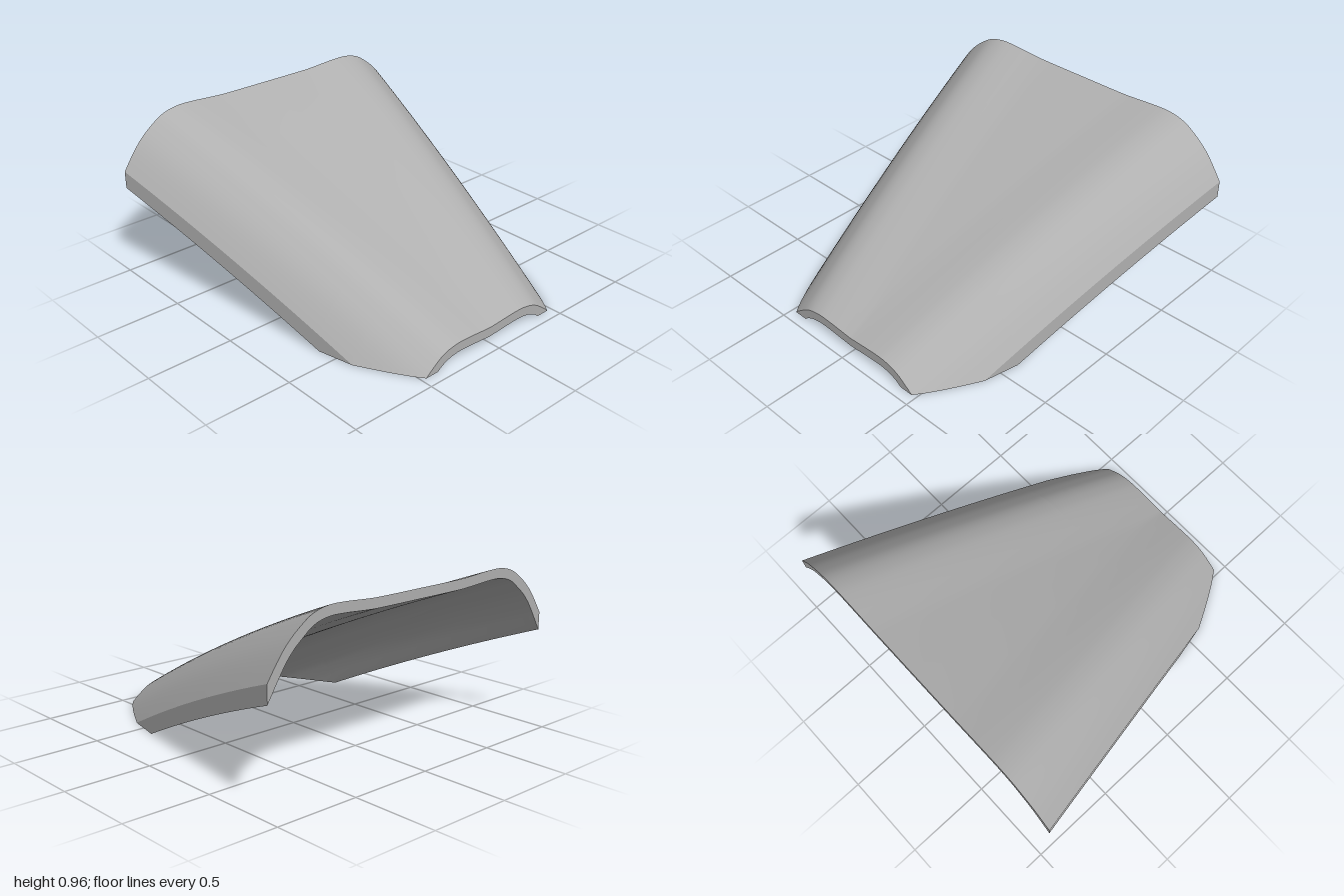
import * as THREE from 'three';

const END = 0.935, THICK = 0.055, STEPS = 72;

// Drop below the crest, against distance in from the side edge
const DROP = [[0, 0.3], [0.05, 0.225], [0.1, 0.16], [0.15, 0.11], [0.2, 0.071], [0.25, 0.037], [0.3, 0.016],
  [0.35, 0.005], [0.4, 0], [0.5, 0.003], [0.6, 0.01], [0.7, 0.015], [1.2, 0.015]];

// Smooth (Hermite) lookup in the drop table
function drop(d) {
  const slope = k => {
    const a = DROP[Math.max(k - 1, 0)], b = DROP[Math.min(k + 1, DROP.length - 1)];
    return k === DROP.length - 1 ? 0 : (b[1] - a[1]) / (b[0] - a[0]);
  };
  let k = 0;
  while (k < DROP.length - 2 && DROP[k + 1][0] < d) k++;
  const [x0, y0] = DROP[k], [x1, y1] = DROP[k + 1], w = x1 - x0;
  const t = (d - x0) / w, t2 = t * t, t3 = t2 * t;
  return (2 * t3 - 3 * t2 + 1) * y0 + (t3 - 2 * t2 + t) * w * slope(k)
    + (3 * t2 - 2 * t3) * y1 + (t3 - t2) * w * slope(k + 1);
}

const halfWidth = x => 1 - 0.215 * (x + END);
const crest = x => 0.535 - 0.4545 * x + 0.035 * (1 - (x / END) ** 2);

// Height of the outer skin, and of the inner skin offset along the normal
function outerY(x, z) {
  const t = (x + END) / (2 * END);
  const d = Math.max(0, halfWidth(x) - Math.abs(z));
  return crest(x) - (1 - 0.07 * t) * drop(d * (1 + 0.1 * t));
}
function innerY(x, z) {
  const a = Math.abs(z), e = 0.01;
  const s = (outerY(x, a) - outerY(x, Math.max(0, a - e))) / e;
  return outerY(x, z) - THICK * Math.sqrt(1 + s * s);
}

function bisect(f, lo, hi) {
  for (let i = 0; i < 40; i++) {
    const m = (lo + hi) / 2;
    if (f(m) > 0) lo = m; else hi = m;
  }
  return lo;
}

// Half width of a skin where it meets the side edge or the ground
function reach(fn, x) {
  const w = halfWidth(x);
  return fn(x, w) >= 0 ? w : bisect(z => fn(x, z), 0, w);
}

function section(fn, x) {
  const r = reach(fn, x), row = [];
  for (let j = 0; j <= STEPS; j++) {
    const z = r * (2 * j / STEPS - 1);
    row.push([x, Math.max(0, fn(x, z)), z]);
  }
  return row;
}

// Grid of points to a surface
function sheet(rows) {
  const n = rows[0].length, index = [];
  for (let i = 0; i < rows.length - 1; i++) {
    for (let j = 0; j < n - 1; j++) {
      const a = i * n + j, b = a + n;
      index.push(a, a + 1, b, a + 1, b + 1, b);
    }
  }
  const g = new THREE.BufferGeometry();
  g.setAttribute('position', new THREE.Float32BufferAttribute(rows.flat(2), 3));
  g.setIndex(index);
  g.computeVertexNormals();
  return g;
}

export function createModel() {
  const group = new THREE.Group();
  group.name = 'curvedHood';
  const grey = new THREE.MeshStandardMaterial({ color: 0xb0b0b0 });
  grey.name = 'plain grey';
  const add = (name, rows) => {
    const mesh = new THREE.Mesh(sheet(rows), grey);
    mesh.name = name;
    group.add(mesh);
  };

  // Stations along the length, with extra ones where the edges meet the ground
  const xs = Array.from({ length: 49 }, (_, i) => END * (i / 24 - 1));
  for (const fn of [outerY, innerY]) xs.push(bisect(x => fn(x, halfWidth(x)), -END, END));
  xs.sort((a, b) => a - b);

  const outer = xs.map(x => section(outerY, x));
  const inner = xs.map(x => section(innerY, x));
  add('outerSkin', outer);
  add('innerSkin', inner.map(r => [...r].reverse()));

  // Side walls and the flat strips resting on the ground
  for (const side of [1, -1]) {
    const label = side > 0 ? 'front' : 'back';
    const wall = [], foot = [];
    xs.forEach((x, i) => {
      const o = outer[i][side > 0 ? STEPS : 0], n = inner[i][side > 0 ? STEPS : 0];
      const corner = [x, Math.min(o[1], Math.max(0, innerY(x, o[2]))), o[2]];
      wall.push(side > 0 ? [o, corner] : [corner, o]);
      foot.push(side > 0 ? [corner, n] : [n, corner]);
    });
    add(label + 'SideWall', wall);
    add(label + 'Foot', foot);
  }

  // End faces closing the thickness
  const last = xs.length - 1;
  add('lowEndFace', [outer[last], inner[last]]);
  add('highEndFace', [inner[0], outer[0]]);
  return group;
}
